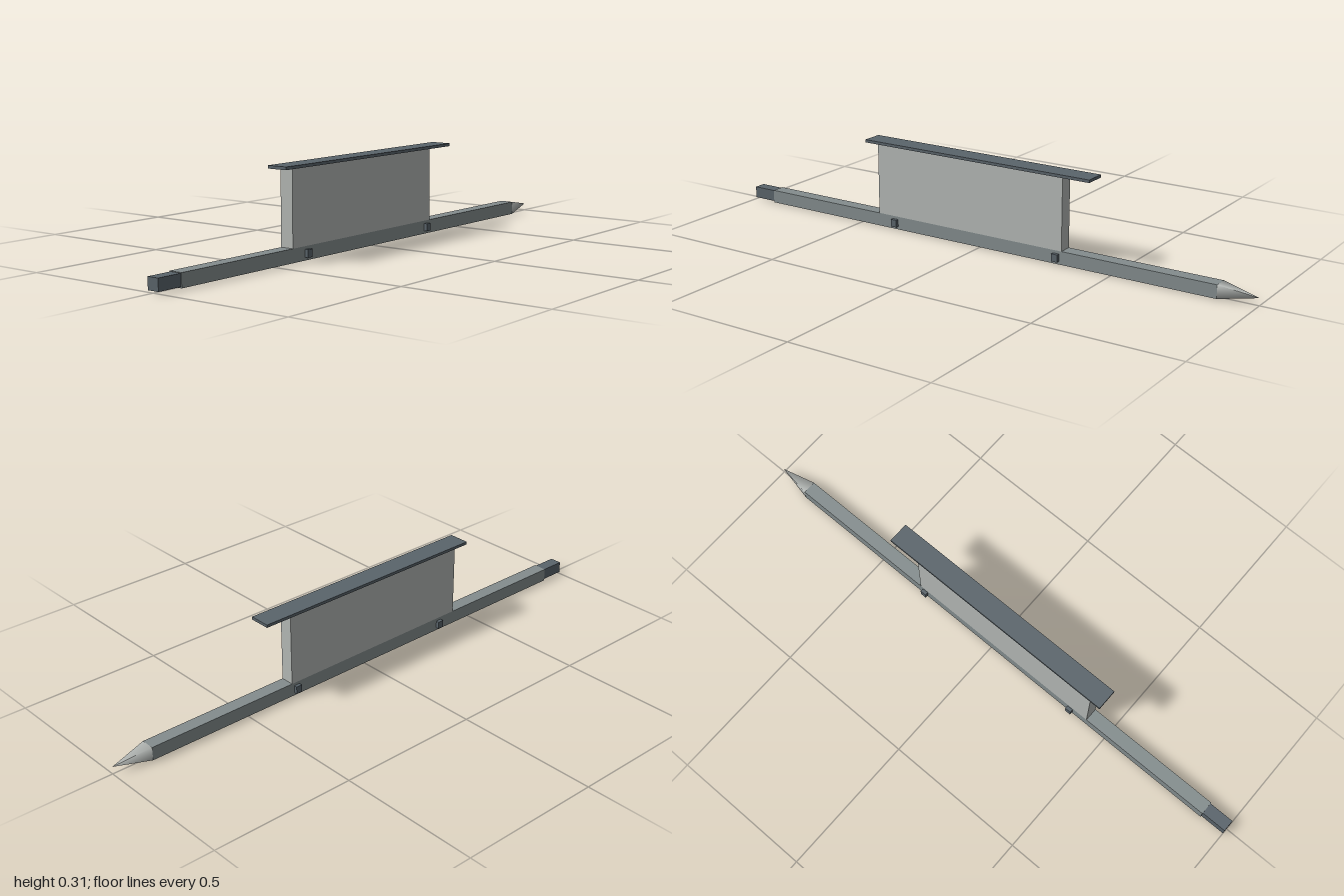
import * as THREE from 'three';

export function createModel() {
  const model = new THREE.Group();
  model.name = 'model';
  const mat = (name, color) => {
    const m = new THREE.MeshStandardMaterial({ color });
    m.name = name;
    return m;
  };
  const darkSteel = mat('darkSteel', 0x5a646b);
  const midGrey = mat('midGrey', 0x848d8e);
  const paleGrey = mat('paleGrey', 0xb4b8b5);
  const slotBlack = mat('slotBlack', 0x24282b);

  // Box given by its limits on each axis
  const box = (name, material, x0, x1, y0, y1, z0, z1) => {
    const mesh = new THREE.Mesh(new THREE.BoxGeometry(x1 - x0, y1 - y0, z1 - z0), material);
    mesh.position.set((x0 + x1) / 2, (y0 + y1) / 2, (z0 + z1) / 2);
    mesh.name = name;
    model.add(mesh);
    return mesh;
  };

  // Long square bar with a dark plug at the front
  box('bar', midGrey, -0.024, 0.024, 0.002, 0.048, -0.87, 0.91);
  box('frontPlug', darkSteel, -0.021, 0.021, 0.006, 0.046, 0.91, 1);

  // Four-sided pointed tip at the back
  const tipGeometry = new THREE.ConeGeometry(0.024 * Math.SQRT2, 0.13, 4);
  tipGeometry.rotateY(Math.PI / 4);
  tipGeometry.rotateX(-Math.PI / 2);
  const tip = new THREE.Mesh(tipGeometry, paleGrey);
  tip.position.set(0, 0.025, -0.935);
  tip.scale.y = 0.046 / 0.048;
  tip.name = 'tip';
  model.add(tip);

  // Upright panel and its cap plate
  box('panel', paleGrey, -0.024, 0.024, 0.048, 0.3, -0.32, 0.42);
  box('capPlate', darkSteel, -0.037, 0.037, 0.3, 0.31, -0.425, 0.465);

  // Side lugs, mirrored left and right
  for (const z of [0.35, -0.3]) {
    for (const s of [-1, 1]) {
      const inner = s * 0.024, outer = s * 0.036;
      box('sideLug', darkSteel, Math.min(inner, outer), Math.max(inner, outer), 0.012, 0.038, z - 0.011, z + 0.011);
    }
  }

  // Row of small dark slots along the underside
  const count = 64;
  for (let i = 0; i < count; i++) {
    const z = 0.8 - (i * 1.58) / (count - 1);
    box('undersideSlot', slotBlack, -0.005, 0.005, 0, 0.003, z - 0.008, z + 0.008);
  }

  return model;
}
